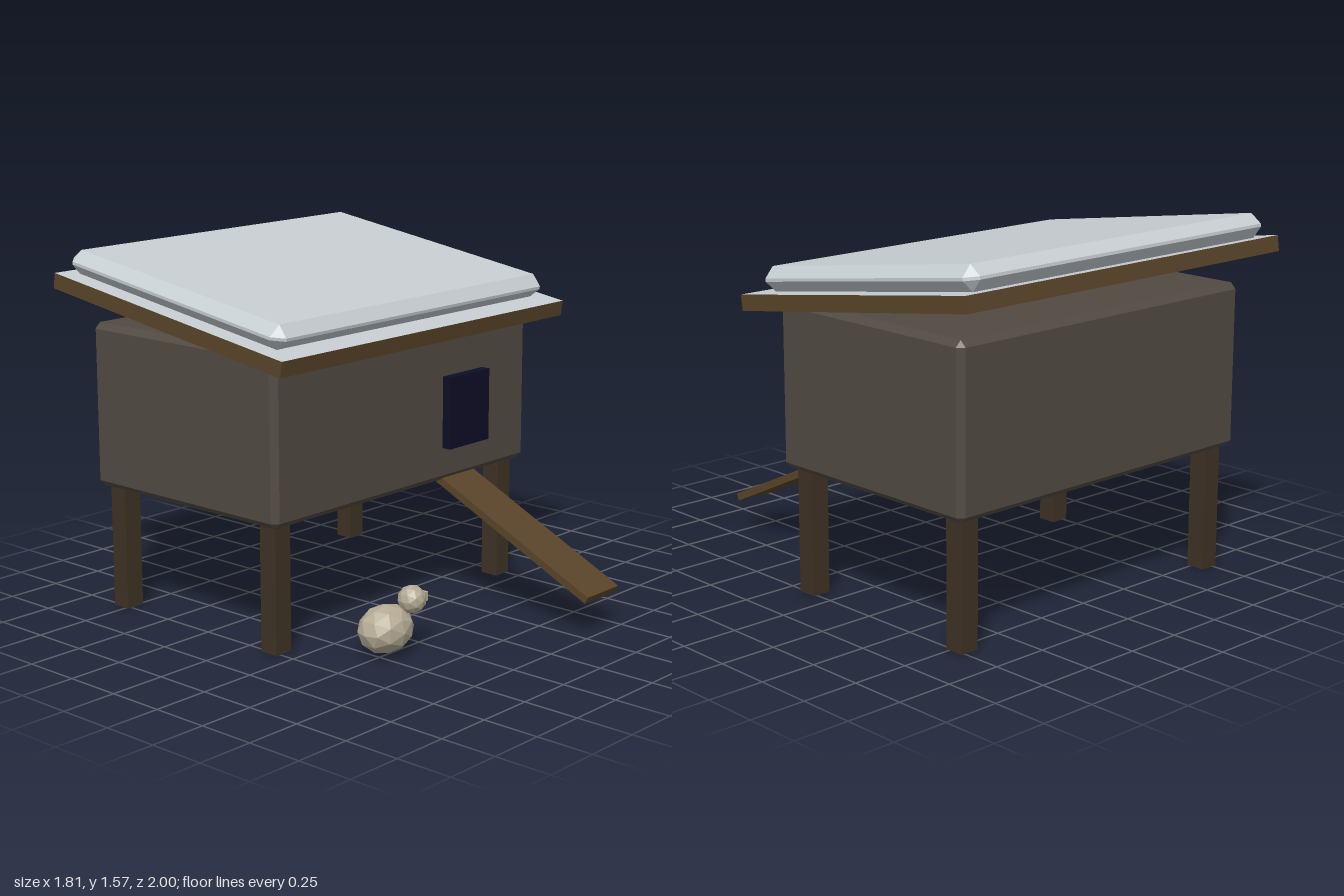
import * as THREE from 'three';
import { ConvexGeometry } from 'three/addons/geometries/ConvexGeometry.js';

const mat = (name, color) => Object.assign(new THREE.MeshStandardMaterial({ color }), { name });

// Box with every edge and corner cut flat
function chamferBox(w, h, d, c) {
  const pts = [];
  for (const x of [-1, 1]) for (const y of [-1, 1]) for (const z of [-1, 1]) {
    const X = w / 2, Y = h / 2, Z = d / 2;
    pts.push(
      new THREE.Vector3(x * X, y * (Y - c), z * (Z - c)),
      new THREE.Vector3(x * (X - c), y * Y, z * (Z - c)),
      new THREE.Vector3(x * (X - c), y * (Y - c), z * Z));
  }
  return new ConvexGeometry(pts);
}

export function createModel() {
  const model = new THREE.Group();
  model.name = 'henHouse';

  const walls = mat('weatheredWalls', 0x514a42);
  const wood = mat('brownWood', 0x594429);
  const darkWood = mat('darkWood', 0x3e3225);
  const snow = mat('snow', 0xc6cdd1);
  const opening = mat('darkOpening', 0x0e0e26);
  const feathers = mat('feathers', 0xb5ab95);

  const add = (parent, name, geometry, material, x, y, z) => {
    const mesh = new THREE.Mesh(geometry, material);
    mesh.name = name;
    mesh.position.set(x, y, z);
    parent.add(mesh);
    return mesh;
  };
  const box = (w, h, d) => new THREE.BoxGeometry(w, h, d);

  // Coop body on four legs
  add(model, 'coopBody', chamferBox(1.63, 0.72, 1.085, 0.026), walls, -0.002, 0.91, -0.321);
  for (const x of [-0.727, 0.723]) for (const z of [0.132, -0.777])
    add(model, 'leg', box(0.087, 0.56, 0.087), darkWood, x, 0.28, z);

  // Doorway
  add(model, 'doorway', box(0.267, 0.32, 0.08), opening, 0.362, 0.86, 0.224);

  // Sloping roof: board with a snowy top face, and a thick layer of snow on it
  const roof = new THREE.Group();
  roof.name = 'roof';
  roof.position.set(0, 1.345, -0.322);
  roof.rotation.x = 0.148;
  model.add(roof);
  add(roof, 'roofBoard', box(1.81, 0.068, 1.358), [wood, wood, snow, wood, wood, wood], 0, 0, 0);
  add(roof, 'snowLayer', chamferBox(1.72, 0.105, 1.275, 0.046), snow, 0, 0.087, -0.03);

  // Entry ramp
  const ramp = add(model, 'ramp', box(0.22, 0.033, 0.92), wood, 0.36, 0.362, 0.577);
  ramp.rotation.x = 0.44;

  // Hen, facing +x
  const hen = new THREE.Group();
  hen.name = 'hen';
  model.add(hen);
  const ball = (rx, ry, rz) => {
    const g = new THREE.IcosahedronGeometry(1, 1);
    g.scale(rx, ry, rz);
    g.computeVertexNormals();
    return g;
  };
  add(hen, 'henBody', ball(0.133, 0.103, 0.105), feathers, -0.454, 0.112, 0.494);
  add(hen, 'henHead', ball(0.061, 0.061, 0.061), feathers, -0.344, 0.221, 0.54);
  add(hen, 'henBeak', box(0.04, 0.04, 0.04), feathers, -0.286, 0.22, 0.54);

  return model;
}
